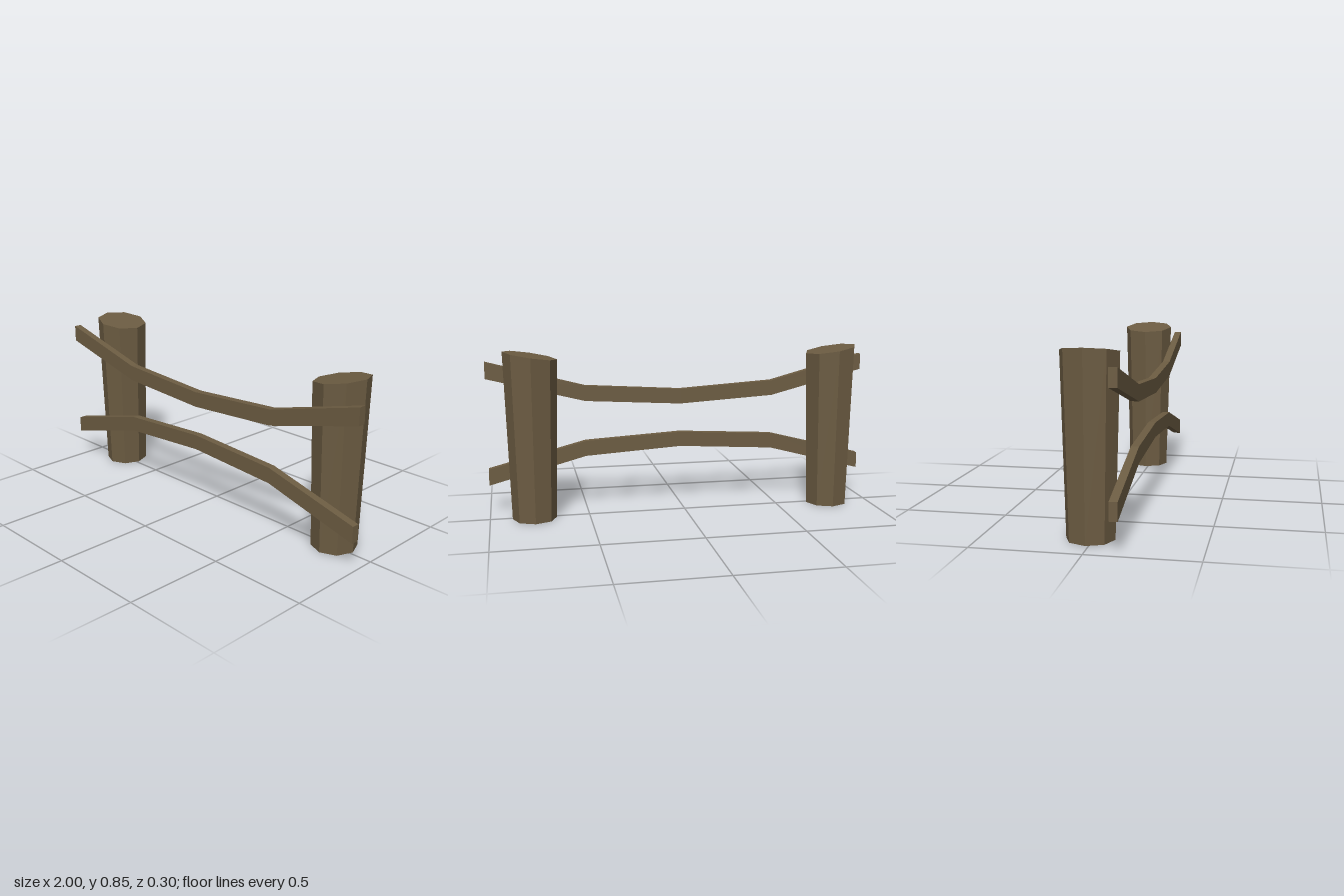
import * as THREE from 'three';

export function createModel() {
  const group = new THREE.Group();
  group.name = 'fence';
  const wood = new THREE.MeshStandardMaterial({ color: 0x6c5c42, flatShading: true, side: THREE.DoubleSide });
  wood.name = 'brown wood';

  // Tapered eight-sided posts, open underneath, with tops sloping up to the outside
  const height = 0.827, topRadius = 0.133, bottomRadius = 0.111, slope = 0.165;
  function addPost(side, name) {
    const wall = new THREE.CylinderGeometry(topRadius, bottomRadius, height, 8, 1, true);
    const cap = new THREE.CircleGeometry(topRadius, 8).rotateX(-Math.PI / 2).translate(0, height / 2, 0);
    const post = new THREE.Group();
    post.name = name;
    for (const [geometry, part] of [[wall, 'postWall'], [cap, 'postTop']]) {
      const p = geometry.attributes.position;
      for (let i = 0; i < p.count; i++) {
        if (p.getY(i) > 0) p.setY(i, p.getY(i) + p.getX(i) * slope * side);
      }
      geometry.computeVertexNormals();
      const mesh = new THREE.Mesh(geometry, wood);
      mesh.name = part;
      post.add(mesh);
    }
    post.position.set(side * 0.778, height / 2, -0.015);
    group.add(post);
  }
  addPost(1, 'leftPost');
  addPost(-1, 'rightPost');

  // Bent rails: [bottom, top] heights at the middle, quarter and end, mirrored in x
  function addRail(name, middle, quarter, end) {
    const xs = [-1, -0.5, 0, 0.5, 1];
    const ys = [end, quarter, middle, quarter, end];
    const lower = xs.map((x, i) => new THREE.Vector2(x, ys[i][0]));
    const upper = xs.map((x, i) => new THREE.Vector2(x, ys[i][1])).reverse();
    const geometry = new THREE.ExtrudeGeometry(new THREE.Shape([...lower, ...upper]), { depth: 0.038, bevelEnabled: false });
    const rail = new THREE.Mesh(geometry, wood);
    rail.name = name;
    rail.position.z = 0.112;
    group.add(rail);
  }
  addRail('upperRail', [0.541, 0.618], [0.571, 0.65], [0.699, 0.783]);
  addRail('lowerRail', [0.312, 0.388], [0.281, 0.36], [0.147, 0.231]);

  return group;
}
